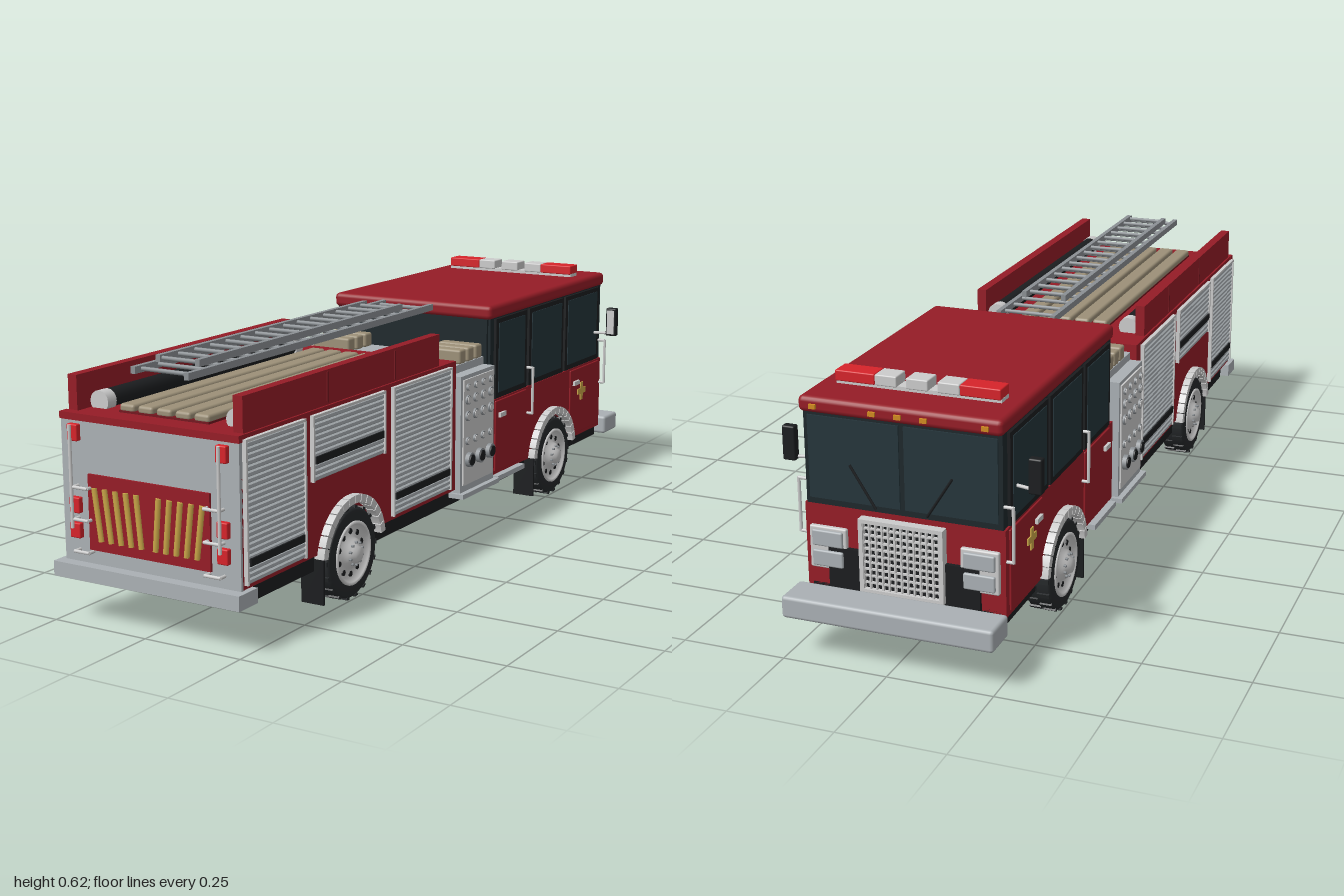
import * as THREE from 'three';
import { RoundedBoxGeometry } from 'three/addons/geometries/RoundedBoxGeometry.js';

const mat = (c, side = THREE.FrontSide) => new THREE.MeshStandardMaterial({ color: c, side });
const M = {
  red: mat(0x951c26), dark: mat(0x74161e), lamp: mat(0xd6232a), grey: mat(0xaab0b4), light: mat(0xcccccc),
  black: mat(0x1b1d1f), tyre: mat(0x25282a), glass: mat(0x1d272b), pane: mat(0x24343a), tan: mat(0x9c9078),
  gold: mat(0xc9a548), steel: mat(0x8b9094), amber: mat(0xd08a20),
};

export function createModel() {
  const root = new THREE.Group();
  const add = (name, geo, m, x = 0, y = 0, z = 0) => {
    const mesh = new THREE.Mesh(geo, m);
    mesh.name = name;
    mesh.position.set(x, y, z);
    root.add(mesh);
    return mesh;
  };
  // box given by its limits on each axis
  const box = (name, m, x0, x1, y0, y1, z0, z1, r = 0) => {
    const s = [Math.abs(x1 - x0), Math.abs(y1 - y0), Math.abs(z1 - z0)];
    const geo = r ? new RoundedBoxGeometry(...s, 2, r) : new THREE.BoxGeometry(...s);
    return add(name, geo, m, (x0 + x1) / 2, (y0 + y1) / 2, (z0 + z1) / 2);
  };
  const pair = (name, m, x0, x1, ...rest) => [1, -1].forEach(s => box(name, m, s * x0, s * x1, ...rest));
  // round bar between two points
  const rod = (name, m, a, b, r, seg = 8) => {
    const p = new THREE.Vector3(...a), q = new THREE.Vector3(...b), d = q.clone().sub(p);
    const mesh = add(name, new THREE.CylinderGeometry(r, r, d.length(), seg), m);
    mesh.position.copy(p).add(q).multiplyScalar(0.5);
    mesh.quaternion.setFromUnitVectors(new THREE.Vector3(0, 1, 0), d.normalize());
  };
  // disc facing sideways
  const disc = (name, m, x, y, z, r, t, seg = 16) =>
    add(name, new THREE.CylinderGeometry(r, r, t, seg).rotateZ(Math.PI / 2), m, x, y, z);
  // side outline (z, y) extruded across the width
  const across = (shape, w) => new THREE.ExtrudeGeometry(shape, { depth: w, bevelEnabled: false, curveSegments: 24 })
    .translate(0, 0, -w / 2).rotateY(-Math.PI / 2);
  const archR = 0.122, wheelY = 0.112, axles = [0.54, -0.547];
  // body side with a wheel arch cut into its lower edge
  const archedBody = (z0, z1, y0, y1, zc) => {
    const a = Math.asin((y0 - wheelY) / archR), dx = archR * Math.cos(a), s = new THREE.Shape();
    s.moveTo(z0, y0);
    s.lineTo(zc - dx, y0);
    s.absarc(zc, wheelY, archR, Math.PI - a, a, true);
    s.lineTo(z1, y0);
    s.lineTo(z1, y1);
    s.lineTo(z0, y1);
    return s;
  };

  // chassis
  box('chassis', M.black, -0.18, 0.18, 0.1, 0.24, -0.9, 0.93);
  [[0.67, 0.93], [-0.41, 0.41], [-0.89, -0.68]].forEach(([a, b]) => box('chassisSide', M.black, -0.225, 0.225, 0.1, 0.145, a, b));

  // rear body and cab body
  add('rearBody', across(archedBody(0.02, 0.965, 0.14, 0.475, axles[0]), 0.474), M.red);
  add('cabBody', across(archedBody(-0.89, -0.17, 0.13, 0.335, axles[1]), 0.474), M.red);
  box('cabGlass', M.glass, -0.232, 0.232, 0.335, 0.555, -0.89, -0.18);
  box('cabRoof', M.red, -0.238, 0.238, 0.55, 0.587, -0.905, -0.168, 0.012);
  box('cabBackWall', M.glass, -0.225, 0.225, 0.33, 0.55, -0.18, -0.172);

  // wheels with lugged tyres
  const tyre = [[0.07, -0.032], [0.1, -0.032], [0.107, -0.026], [0.107, 0.026], [0.1, 0.032], [0.07, 0.032]];
  const rim = [[0.076, 0.024], [0.076, 0.035], [0.068, 0.035], [0.062, 0.022], [0.038, 0.026], [0.034, 0.036], [0.02, 0.04], [0.017, 0.05], [0, 0.05]];
  const lathe = p => new THREE.LatheGeometry(p.map(([r, h]) => new THREE.Vector2(r, h)), 40).rotateZ(-Math.PI / 2);
  const bent = mat(0xcccccc, THREE.DoubleSide), rubber = mat(0x25282a, THREE.DoubleSide);
  for (const zc of axles) {
    rod('axle', M.black, [-0.2, wheelY, zc], [0.2, wheelY, zc], 0.02);
    for (const s of [1, -1]) {
      const wheel = new THREE.Group();
      wheel.name = 'wheel';
      const part = (n, g, m) => { const k = new THREE.Mesh(g, m); k.name = n; wheel.add(k); return k; };
      part('tyre', lathe(tyre), rubber);
      part('rim', lathe(rim), bent);
      part('innerDisc', new THREE.CylinderGeometry(0.075, 0.075, 0.04, 24).rotateZ(Math.PI / 2), M.black);
      for (let i = 0; i < 36; i++) {
        const a = i / 36 * Math.PI * 2;
        const lug = part('treadLug', new THREE.BoxGeometry(0.029, 0.006, 0.011), M.tyre);
        lug.position.set(i % 2 ? 0.015 : -0.015, 0.108 * Math.cos(a), 0.108 * Math.sin(a));
        lug.rotation.x = a;
      }
      for (let i = 0; i < 10; i++) {
        const a = i / 10 * Math.PI * 2;
        const hole = part('rimHole', new THREE.CylinderGeometry(0.007, 0.007, 0.006, 10).rotateZ(Math.PI / 2), M.black);
        hole.position.set(0.023, 0.051 * Math.cos(a), 0.051 * Math.sin(a));
        const nut = part('wheelNut', new THREE.CylinderGeometry(0.003, 0.003, 0.01, 6).rotateZ(Math.PI / 2), M.steel);
        nut.position.set(0.039, 0.027 * Math.cos(a), 0.027 * Math.sin(a));
      }
      wheel.position.set(s * 0.217, wheelY, zc);
      wheel.rotation.y = s > 0 ? 0 : Math.PI;
      root.add(wheel);

      // segmented fender trim
      for (let i = 0; i < 14; i++) {
        const a0 = 0.14 + i * (Math.PI - 0.28) / 14, a1 = a0 + (Math.PI - 0.28) / 14 - 0.02, f = new THREE.Shape();
        f.absarc(0, 0, 0.138, a0, a1, false);
        f.absarc(0, 0, 0.119, a1, a0, true);
        add('fenderTrim', across(f, 0.026), M.light, s * 0.243, wheelY, zc);
      }
      box('mudFlap', M.black, s * 0.19, s * 0.25, 0.022, 0.13, zc + 0.124, zc + 0.13);
    }
  }

  // bumpers
  box('frontBumper', M.grey, -0.25, 0.25, 0.1, 0.152, -1, -0.91, 0.008);
  box('bumperMount', M.black, -0.2, 0.2, 0.1, 0.14, -0.92, -0.88);
  box('rearStep', M.grey, -0.25, 0.25, 0.105, 0.139, 0.93, 1);

  // roller shutters with ridged slats
  const shutter = (s, z0, z1, y0, y1) => {
    const n = Math.round((y1 - y0) / 0.013), h = (y1 - y0) / n, p = new THREE.Shape();
    p.moveTo(0, y0);
    for (let i = 0; i < n; i++) {
      p.lineTo(0.006, y0 + i * h);
      p.lineTo(0.01, y0 + (i + 0.25) * h);
      p.lineTo(0.01, y0 + (i + 0.75) * h);
      p.lineTo(0.006, y0 + (i + 1) * h);
    }
    p.lineTo(0, y1);
    const g = new THREE.ExtrudeGeometry(p, { depth: z1 - z0, bevelEnabled: false });
    if (s < 0) g.translate(0, 0, z0 - z1).rotateY(Math.PI);
    add('rollerShutter', g, M.grey, s * 0.234, 0, z0);
    for (const [a, b] of [[z0 - 0.006, z0], [z1, z1 + 0.006]]) box('shutterFrame', M.light, s * 0.232, s * 0.247, y0, y1, a, b);
    box('shutterFrame', M.light, s * 0.232, s * 0.247, y1, y1 + 0.006, z0 - 0.006, z1 + 0.006);
  };
  for (const s of [1, -1]) {
    for (const [z0, z1, y0, bar] of [[0.735, 0.955, 0.15, 0.19], [0.39, 0.695, 0.315, 0.355], [0.06, 0.34, 0.15, 0.19]]) {
      shutter(s, z0, z1, y0, 0.46);
      box('shutterHandle', M.black, s * 0.235, s * 0.248, bar, bar + 0.017, z0 + 0.005, z1 - 0.005);
    }
    // raised bed side
    box('bedSide', M.red, s * 0.208, s * 0.232, 0.475, 0.555, 0.1, 0.95);
    [0.32, 0.62].forEach(z => box('bedSideJoint', M.dark, s * 0.231, s * 0.234, 0.48, 0.55, z - 0.003, z + 0.003));
    // suction hose
    rod('suctionHose', M.black, [s * 0.183, 0.492, 0.13], [s * 0.183, 0.492, 0.88], 0.022, 16);
    for (const z of [0.13, 0.89]) rod('suctionCoupling', M.light, [s * 0.183, 0.49, z - 0.015], [s * 0.183, 0.49, z + 0.015], 0.025, 16);
  }

  // hose bed
  box('bedFloor', M.dark, -0.12, 0.12, 0.473, 0.48, 0.13, 0.915);
  for (let i = -2; i <= 2; i++) box('foldedHose', M.tan, i * 0.05 - 0.02, i * 0.05 + 0.02, 0.476, 0.495, 0.13, 0.915, 0.007);

  // two-section ladder
  const ladder = (half, y, z0, z1) => {
    for (const s of [1, -1]) box('ladderRail', M.steel, s * half - 0.006, s * half + 0.006, y, y + 0.016, z0, z1);
    for (let z = z0 + 0.03; z < z1; z += 0.06) rod('ladderRung', M.steel, [-half, y + 0.008, z], [half, y + 0.008, z], 0.005);
  };
  ladder(0.071, 0.567, -0.15, 0.925);
  ladder(0.053, 0.584, -0.02, 0.86);

  // pump section
  box('pumpHousing', M.grey, -0.252, 0.252, 0.13, 0.435, -0.165, 0.02);
  box('pumpDeck', M.grey, -0.22, 0.22, 0.435, 0.455, -0.165, 0.02);
  for (const s of [1, -1]) {
    box('pumpPanel', M.light, s * 0.25, s * 0.256, 0.15, 0.425, -0.155, 0.01);
    for (let i = 0; i < 3; i++) box('rolledHose', M.tan, s * 0.11, s * 0.222, 0.455, 0.492, -0.153 + i * 0.044, -0.119 + i * 0.044, 0.006);
    for (let i = 0; i < 4; i++) for (const [y, r] of [[0.405, 0.009], [0.372, 0.012], [0.33, 0.013], [0.265, 0.01]]) {
      const z = -0.135 + i * 0.042;
      disc('gaugeRim', M.steel, s * 0.257, y, z, r, 0.008);
      disc('gaugeFace', M.light, s * 0.258, y, z, r * 0.75, 0.009);
    }
    for (const z of [-0.13, -0.073, -0.016]) {
      disc('outletPipe', M.steel, s * 0.26, 0.215, z, 0.019, 0.014);
      disc('outletCap', M.black, s * 0.264, 0.215, z, 0.014, 0.012);
    }
    box('pumpStep', M.grey, s * 0.22, s * 0.266, 0.12, 0.132, -0.175, 0.03);
    box('cabStep', M.grey, s * 0.21, s * 0.255, 0.118, 0.131, -0.35, -0.19);

    // cab side: windows, doors, handles
    for (const [a, b] of [[-0.385, -0.2], [-0.62, -0.4], [-0.865, -0.635]]) {
      box('windowFrame', M.black, s * 0.23, s * 0.239, 0.337, 0.549, a, b);
      box('sideWindow', M.pane, s * 0.235, s * 0.241, 0.352, 0.537, a + 0.015, b - 0.015);
    }
    for (const [a, b, y] of [[-0.385, -0.2, 0.14], [-0.87, -0.675, 0.14]]) {
      box('doorPanel', M.red, s * 0.235, s * 0.241, y, 0.33, a, b, 0.002);
      box('doorHandle', M.light, s * 0.24, s * 0.248, 0.285, 0.297, b - 0.05, b - 0.015);
    }
    for (const z of [-0.397, -0.885]) {
      rod('grabRail', M.light, [s * 0.253, 0.26, z], [s * 0.253, 0.39, z], 0.004);
      for (const y of [0.262, 0.388]) rod('grabRailMount', M.light, [s * 0.23, y, z], [s * 0.253, y, z], 0.004);
    }
    box('goldCross', M.gold, s * 0.24, s * 0.244, 0.235, 0.287, -0.756, -0.74);
    box('goldCross', M.gold, s * 0.24, s * 0.244, 0.253, 0.269, -0.774, -0.722);
    // mirror
    rod('mirrorArm', M.light, [s * 0.23, 0.419, -0.83], [s * 0.29, 0.419, -0.845], 0.004);
    box('mirrorShell', M.black, s * 0.275, s * 0.306, 0.412, 0.493, -0.857, -0.836, 0.004);
    box('mirrorGlass', M.light, s * 0.28, s * 0.301, 0.418, 0.487, -0.838, -0.834);

    // cab front: windshield half, wiper, headlights
    box('windshield', M.pane, s * 0.006, s * 0.222, 0.35, 0.542, -0.894, -0.885);
    rod('wiper', M.black, [s * 0.06, 0.345, -0.9], [s * 0.12, 0.44, -0.9], 0.003);
    box('headlightFrame', M.light, s * 0.135, s * 0.225, 0.185, 0.285, -0.9, -0.885, 0.004);
    [0.192, 0.24].forEach(y => box('headlight', M.grey, s * 0.143, s * 0.217, y, y + 0.038, -0.906, -0.895, 0.004));
  }
  // radiator grille
  box('grilleBack', M.black, -0.09, 0.09, 0.155, 0.315, -0.898, -0.88);
  for (let i = 0; i <= 12; i++) box('grilleBar', M.light, -0.091 + i * 0.015, -0.087 + i * 0.015, 0.155, 0.315, -0.908, -0.895);
  for (let i = 0; i <= 10; i++) box('grilleBar', M.light, -0.092, 0.092, 0.153 + i * 0.016, 0.157 + i * 0.016, -0.906, -0.895);
  pair('grilleFrame', M.light, 0.09, 0.1, 0.15, 0.32, -0.912, -0.885);
  [0.148, 0.313].forEach(y => box('grilleFrame', M.light, -0.1, 0.1, y, y + 0.009, -0.912, -0.885));
  for (const x of [-0.2, -0.06, 0, 0.06, 0.2]) box('markerLight', M.amber, x - 0.008, x + 0.008, 0.562, 0.572, -0.911, -0.9);

  // light bar
  box('lightBarBase', M.light, -0.195, 0.195, 0.586, 0.596, -0.8, -0.76);
  pair('redBeacon', M.lamp, 0.1, 0.195, 0.594, 0.619, -0.806, -0.756, 0.003);
  pair('whiteBeacon', M.light, 0.048, 0.1, 0.594, 0.619, -0.806, -0.756, 0.003);
  box('whiteBeacon', M.light, -0.026, 0.026, 0.594, 0.619, -0.806, -0.756, 0.003);

  // rear panel with gold slats, lamps and rails
  box('rearPanel', M.grey, -0.237, 0.237, 0.138, 0.46, 0.96, 0.972);
  box('rearTopEdge', M.red, -0.239, 0.239, 0.46, 0.476, 0.95, 0.975);
  box('slatPlate', M.red, -0.163, 0.163, 0.172, 0.344, 0.97, 0.978);
  for (const s of [1, -1]) {
    for (let i = 0; i < 5; i++) {
      rod('goldSlat', M.gold, [s * (0.145 - i * 0.0287), 0.315, 0.978], [s * (0.129 - i * 0.0275), 0.195, 0.978], 0.007);
    }
    for (const [y0, y1, x] of [[0.415, 0.453, 0.198], [0.252, 0.288, 0.198], [0.195, 0.23, 0.198]]) {
      box('tailLight', M.lamp, s * (x - 0.014), s * (x + 0.014), y0, y1, 0.97, 0.985, 0.003);
    }
    rod('rearGrabRail', M.light, [s * 0.198, 0.22, 0.992], [s * 0.198, 0.453, 0.992], 0.004);
    for (const y of [0.313, 0.24, 0.167]) {
      rod('rearHandrail', M.light, [s * 0.155, y, 0.99], [s * 0.197, y, 0.99], 0.004);
      for (const x of [0.157, 0.195]) rod('handrailMount', M.light, [s * x, y, 0.965], [s * x, y, 0.99], 0.004);
    }
  }
  return root;
}
